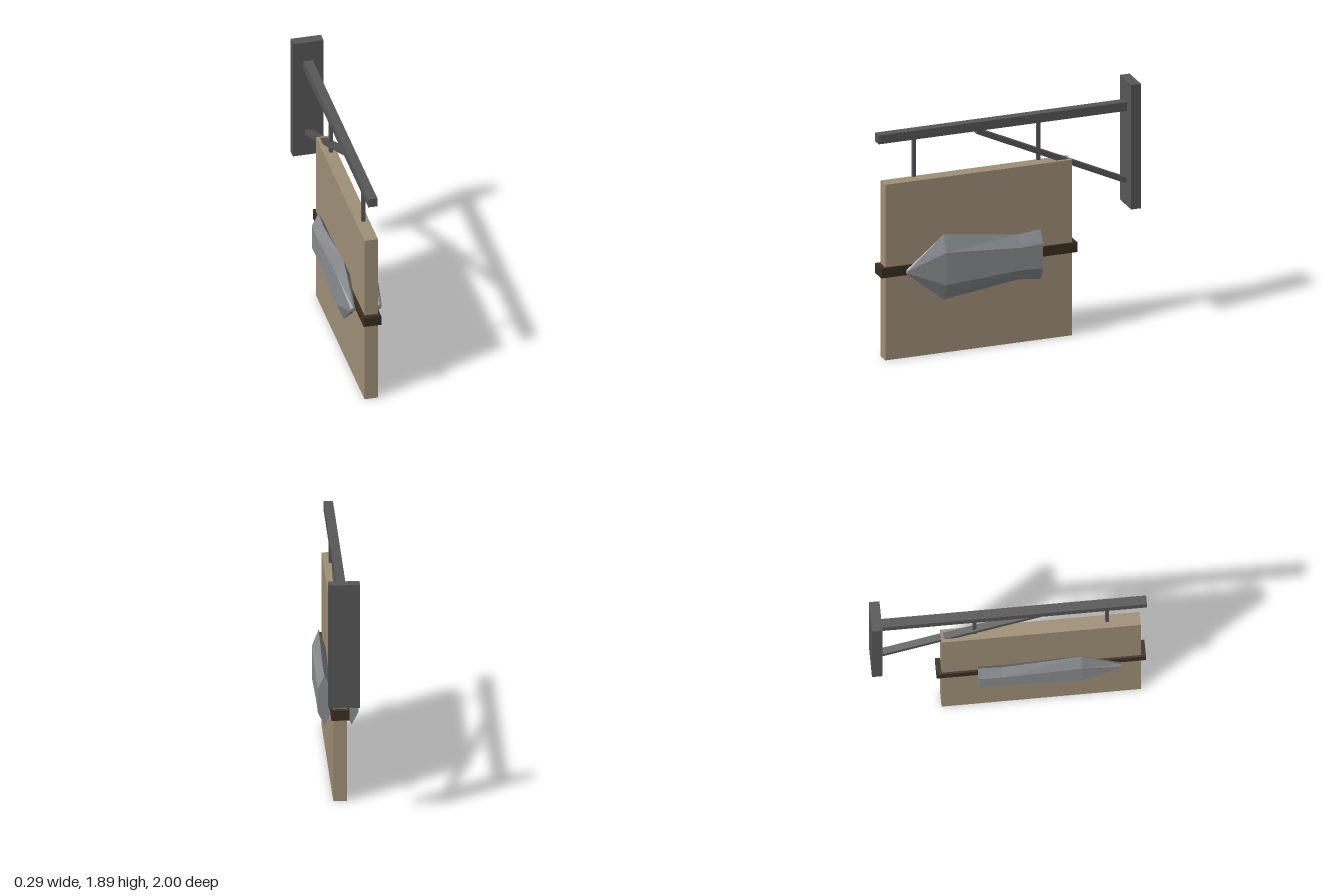
import * as THREE from 'three';

const mat = (name, color, flatShading = false) => {
  const m = new THREE.MeshStandardMaterial({ color, flatShading });
  m.name = name;
  return m;
};

// Faceted solid from six-sided rings [z, halfWidth, halfHeight], ordered front to back
function hexLoft(rings) {
  const loops = rings.map(([z, w, h]) => Array.from({ length: 6 }, (_, k) => {
    const a = k * Math.PI / 3;
    return [-Math.sin(a) / Math.sin(Math.PI / 3) * w, Math.cos(a) * h, z];
  }));
  const pos = [];
  const tri = (...pts) => pts.forEach(p => pos.push(...p));
  const last = loops.length - 1;
  for (let k = 0; k < 6; k++) {
    const n = (k + 1) % 6;
    for (let i = 0; i < last; i++) {
      const a = loops[i], b = loops[i + 1];
      tri(b[k], b[n], a[k]);
      tri(b[n], a[n], a[k]);
    }
    tri([0, 0, rings[0][0]], loops[0][k], loops[0][n]);
    tri([0, 0, rings[last][0]], loops[last][n], loops[last][k]);
  }
  const g = new THREE.BufferGeometry();
  g.setAttribute('position', new THREE.Float32BufferAttribute(pos, 3));
  g.computeVertexNormals();
  return g;
}

export function createModel() {
  const group = new THREE.Group();
  group.name = 'hangingSign';
  const iron = mat('dark iron', 0x575757);
  const wood = mat('pale wood', 0xa09078);
  const darkWood = mat('dark wood', 0x3a2e20);
  const steel = mat('steel', 0x8b8e91, true);

  const add = (name, geometry, material, x, y, z) => {
    const mesh = new THREE.Mesh(geometry, material);
    mesh.name = name;
    mesh.position.set(x, y, z);
    group.add(mesh);
    return mesh;
  };
  // Box given by full width and its y and z ranges, centred on x
  const box = (name, material, w, y0, y1, z0, z1) =>
    add(name, new THREE.BoxGeometry(w, y1 - y0, z1 - z0), material, 0, (y0 + y1) / 2, (z0 + z1) / 2);

  // Bracket
  box('wallPlate', iron, 0.228, 0.93, 1.887, -1, -0.924);
  box('beam', iron, 0.068, 1.662, 1.73, -0.924, 1);
  const top = [1.655, 0.232], foot = [1.12, -0.924];
  const dy = top[0] - foot[0], dz = top[1] - foot[1];
  const brace = add('brace', new THREE.BoxGeometry(0.05, 0.038, Math.hypot(dy, dz)), iron,
    0, (top[0] + foot[0]) / 2, (top[1] + foot[1]) / 2);
  brace.rotation.x = -Math.atan2(dy, dz);

  // Hanger rods
  for (const z of [0.714, -0.248]) box('hangerRod', iron, 0.026, 1.368, 1.657, z - 0.013, z + 0.013);

  // Board and the shaft running across it
  box('signBoard', wood, 0.1, 0, 1.35, -0.49, 0.954);
  box('shaft', darkWood, 0.13, 0.64, 0.715, -0.527, 0.99);

  // Matching blade on each face
  const blade = hexLoft([
    [0.806, 0.016, 0.02],
    [0.52, 0.048, 0.249],
    [-0.055, 0.048, 0.173],
    [-0.228, 0.048, 0.191],
  ]);
  add('leftBlade', blade, steel, 0.098, 0.677, 0);
  add('rightBlade', blade, steel, -0.098, 0.677, 0);

  return group;
}
